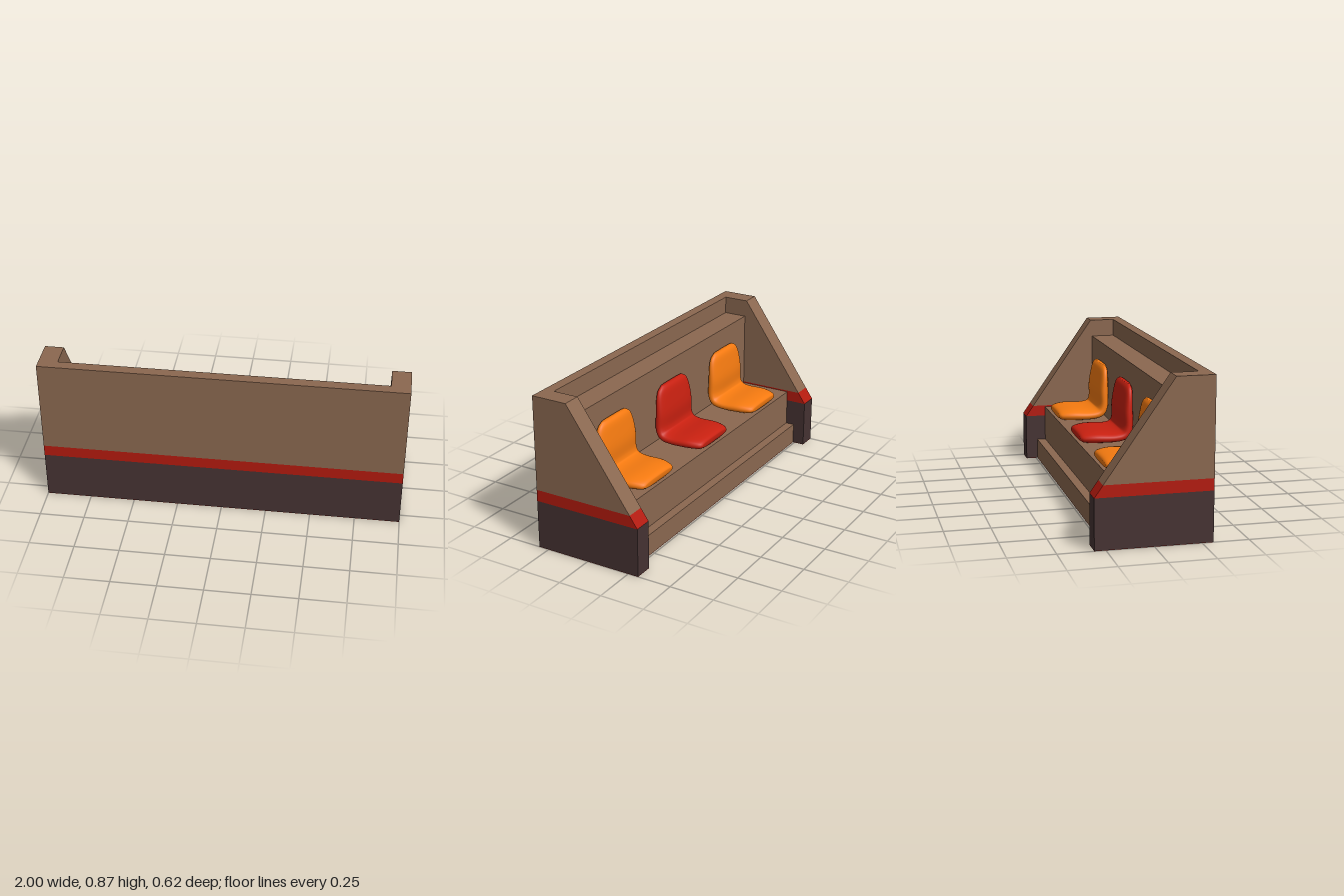
import * as THREE from 'three';

const mat = (color) => new THREE.MeshStandardMaterial({ color });
const wood = mat(0x8b6850), dark = mat(0x463333), red = mat(0xb41a0e);
const seatOrange = mat(0xf57a10), seatRed = mat(0xc82010);

// Prism running along x from x0 to x1, with a profile of [z, y] points
function prism(name, points, x0, x1, material) {
  const shape = new THREE.Shape(points.map(([z, y]) => new THREE.Vector2(-z, y)));
  const geo = new THREE.ExtrudeGeometry(shape, { depth: x1 - x0, bevelEnabled: false });
  geo.rotateY(Math.PI / 2).translate(x0, 0, 0);
  const mesh = new THREE.Mesh(geo, material);
  mesh.name = name;
  return mesh;
}

// Moulded seat: rounded cross-sections swept along a bent spine
function seatGeometry() {
  // z, y, half width, half thickness
  const stations = [
    [-0.185, 0.357, 0.135, 0.016], [-0.165, 0.36, 0.155, 0.03], [-0.1, 0.363, 0.175, 0.036],
    [0, 0.361, 0.18, 0.034], [0.06, 0.375, 0.18, 0.036], [0.082, 0.42, 0.178, 0.036],
    [0.082, 0.5, 0.175, 0.036], [0.088, 0.58, 0.165, 0.03], [0.093, 0.63, 0.145, 0.024],
    [0.097, 0.655, 0.11, 0.012],
  ];
  const curve = (f) => new THREE.CatmullRomCurve3(stations.map(f), false, 'catmullrom');
  const spine = curve(([z, y]) => new THREE.Vector3(0, y, z));
  const size = curve(([, , w, t]) => new THREE.Vector3(w, t, 0));
  const rows = 40, sides = 32, pos = [], index = [];
  const xAxis = new THREE.Vector3(1, 0, 0);
  const soften = (v, e) => Math.sign(v) * Math.abs(v) ** e;
  for (let i = 0; i <= rows + 2; i++) {
    const u = THREE.MathUtils.clamp((i - 1) / rows, 0, 1);
    const k = i === 0 || i === rows + 2 ? 0 : 1; // closed ends
    const p = spine.getPoint(u), s = size.getPoint(u);
    const n = spine.getTangent(u).cross(xAxis);
    for (let j = 0; j < sides; j++) {
      const a = (j / sides) * Math.PI * 2;
      const h = k * s.y * soften(Math.sin(a), 0.8);
      pos.push(k * s.x * soften(Math.cos(a), 0.65), p.y + n.y * h, p.z + n.z * h);
      if (i === rows + 2) continue;
      const b = i * sides + j, c = i * sides + ((j + 1) % sides);
      index.push(b, c, c + sides, b, c + sides, b + sides);
    }
  }
  const geo = new THREE.BufferGeometry();
  geo.setAttribute('position', new THREE.Float32BufferAttribute(pos, 3));
  geo.setIndex(index);
  geo.computeVertexNormals();
  return geo;
}

export function createModel() {
  const group = new THREE.Group();
  const inner = 0.895, front = 0.31, back = -0.31, wall = 0.25;
  const baseY = 0.272, bandY = 0.336, topY = 0.865, bandZ = -0.265, floorY = 0.002;

  // Sloping end walls in three colour bands
  for (const [side, x0, x1] of [['left', inner, 1], ['right', -1, -inner]]) {
    group.add(
      prism(side + 'EndBase', [[front, floorY], [back, floorY], [back, baseY], [front, baseY]], x0, x1, dark),
      prism(side + 'EndStripe', [[front, baseY], [back, baseY], [bandZ, bandY], [front, bandY]], x0, x1, red),
      prism(side + 'EndPanel', [[front, bandY], [bandZ, bandY], [0.105, topY], [front, topY]], x0, x1, wood),
    );
  }

  // Long front wall with the same bands
  for (const [name, y0, y1, m] of [
    ['wallBase', floorY, baseY, dark], ['wallStripe', baseY, bandY, red], ['wallPanel', bandY, topY, wood],
  ]) {
    group.add(prism(name, [[front, y0], [wall, y0], [wall, y1], [front, y1]], -inner, inner, m));
  }

  // Stepped bench: foot step, seat platform, backrest ledge
  group.add(prism('bench', [
    [wall, floorY], [-0.24, floorY], [-0.24, 0.12], [-0.19, 0.12],
    [-0.19, 0.328], [0.115, 0.328], [0.115, 0.765], [wall, 0.765],
  ], -inner, inner, wood));

  // Red underside
  group.add(prism('undersideMiddle', [[front, 0], [-0.24, 0], [-0.24, floorY], [front, floorY]], -inner, inner, red));
  for (const [side, x0, x1] of [['left', inner, 1], ['right', -1, -inner]]) {
    group.add(prism(side + 'Underside', [[front, 0], [back, 0], [back, floorY], [front, floorY]], x0, x1, red));
  }

  // Three moulded seats
  const seatGeo = seatGeometry();
  [[-0.59, seatOrange, 'rightSeat'], [0, seatRed, 'middleSeat'], [0.59, seatOrange, 'leftSeat']].forEach(([x, m, name]) => {
    const seat = new THREE.Mesh(seatGeo, m);
    seat.name = name;
    seat.position.x = x;
    group.add(seat);
  });
  return group;
}
